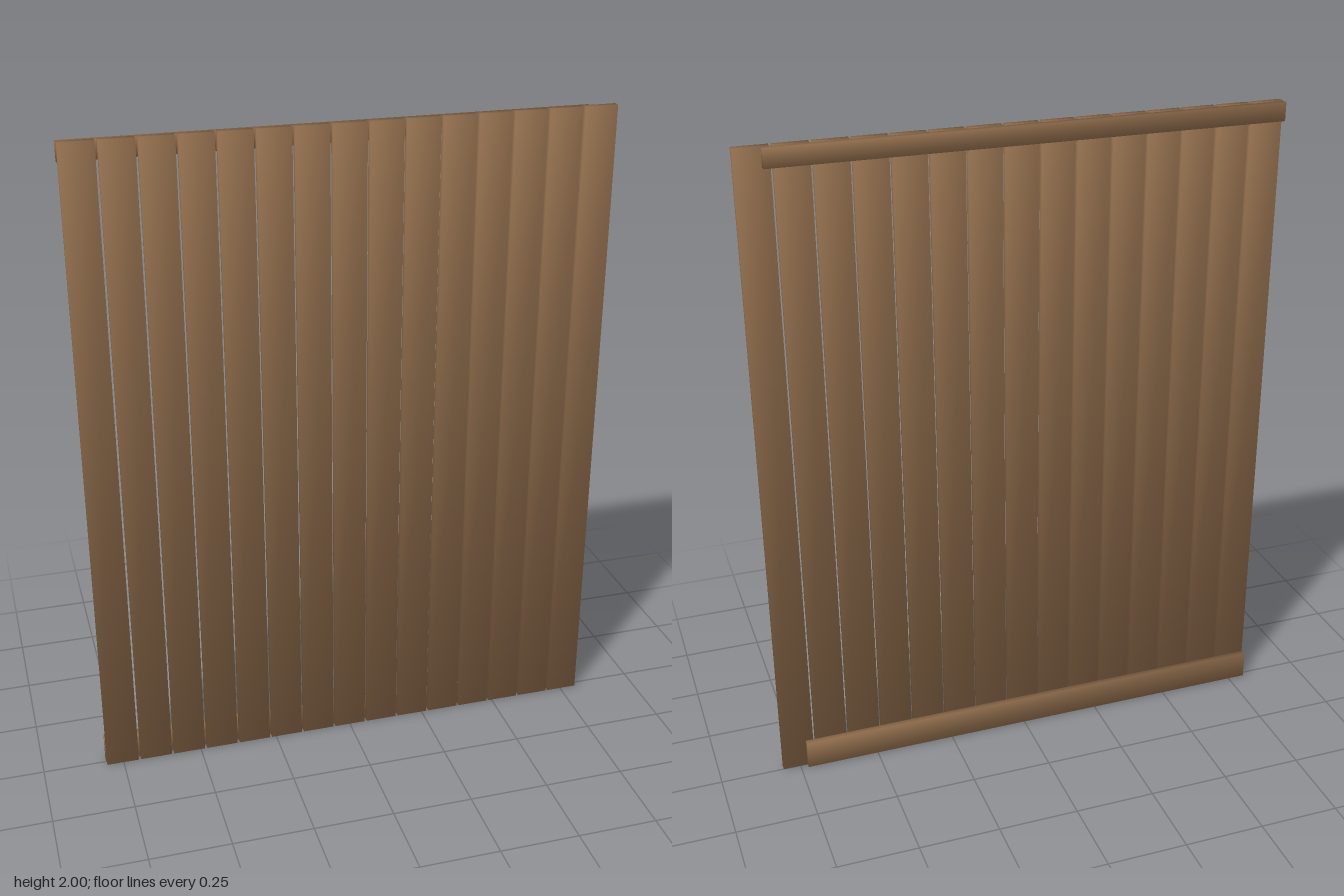
import * as THREE from 'three';

// Box whose corners share one averaged normal, for softly shaded timber
function softBox(w, h, d) {
  const geo = new THREE.BoxGeometry(w, h, d);
  const pos = geo.attributes.position;
  const n = new THREE.Vector3();
  for (let i = 0; i < pos.count; i++) {
    n.set(Math.sign(pos.getX(i)), Math.sign(pos.getY(i)), Math.sign(pos.getZ(i))).normalize();
    geo.attributes.normal.setXYZ(i, n.x, n.y, n.z);
  }
  return geo;
}

export function createModel() {
  const group = new THREE.Group();
  group.name = 'plankPanel';
  const wood = new THREE.MeshStandardMaterial({ color: 0x8c6a4a });
  wood.name = 'brown wood';

  function add(name, x0, x1, y0, y1, z0, z1) {
    const mesh = new THREE.Mesh(softBox(x1 - x0, y1 - y0, z1 - z0), wood);
    mesh.name = name;
    mesh.position.set((x0 + x1) / 2, (y0 + y1) / 2, (z0 + z1) / 2);
    group.add(mesh);
  }

  // Fifteen upright planks with narrow gaps
  const count = 15, width = 0.1, left = -0.802, right = 0.804;
  const pitch = (right - left - width) / (count - 1);
  for (let i = 0; i < count; i++) {
    const x = left + i * pitch;
    add(`plank${i + 1}`, x, x + width, 0, 2, -0.001, 0.019);
  }

  // Rails across the back, stopping short of the last plank's edge
  add('bottomRail', -0.804, 0.727, 0.002, 0.092, -0.019, 0);
  add('topRail', -0.804, 0.727, 1.943, 1.998, -0.019, 0);
  return group;
}
